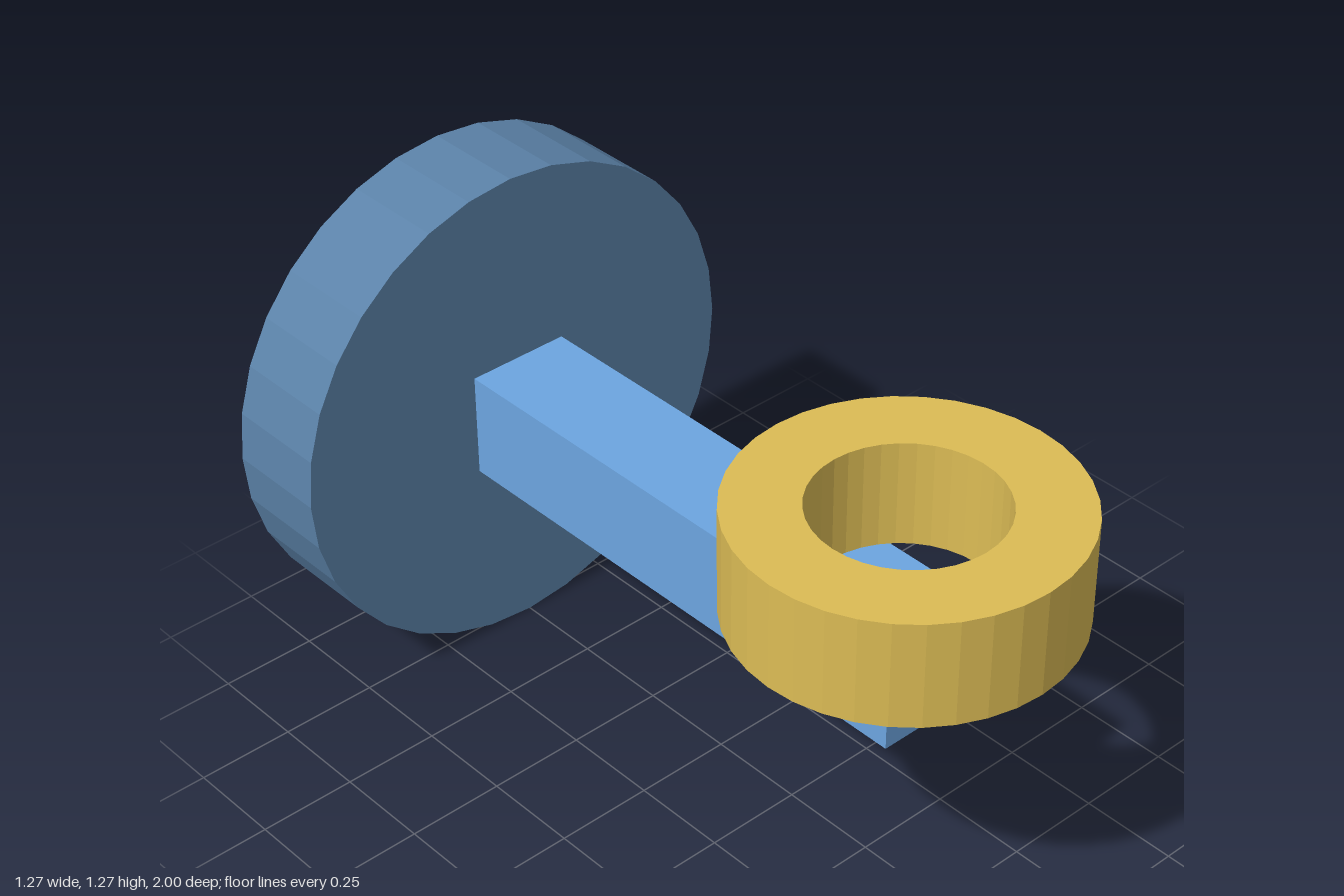
import * as THREE from 'three';

const DEPTH = 0.273; // shared thickness of disc, arm and ring

function addPart(group, name, geometry, color, x, y, z) {
  const material = new THREE.MeshStandardMaterial({ color, flatShading: true });
  const mesh = new THREE.Mesh(geometry, material);
  mesh.name = name;
  mesh.position.set(x, y, z);
  group.add(mesh);
  return mesh;
}

export function createModel() {
  const group = new THREE.Group();
  group.name = 'wallHolder';

  // Round mounting plate at the back, axis along z
  const plate = new THREE.CylinderGeometry(0.636, 0.636, DEPTH, 32);
  plate.rotateX(Math.PI / 2);
  plate.rotateZ(Math.PI / 2);
  addPart(group, 'mountingPlate', plate, 0x5b82a8, 0, 0.636, -1 + DEPTH / 2);

  // Square arm reaching forward from the plate
  const back = -0.74, front = 0.682;
  const arm = new THREE.BoxGeometry(DEPTH, DEPTH, front - back);
  addPart(group, 'arm', arm, 0x6ca5e0, 0, 0.5 + DEPTH / 2, (front + back) / 2);

  // Flat ring resting on the arm: closed rectangular section turned about y
  const inner = 0.227, outer = 0.409;
  const section = [
    [inner, 0], [outer, 0], [outer, DEPTH], [inner, DEPTH], [inner, 0],
  ].map(([r, y]) => new THREE.Vector2(r, y));
  const ring = new THREE.LatheGeometry(section, 36);
  addPart(group, 'ring', ring, 0xdcbc55, 0, 0.773, 0.591);

  return group;
}
